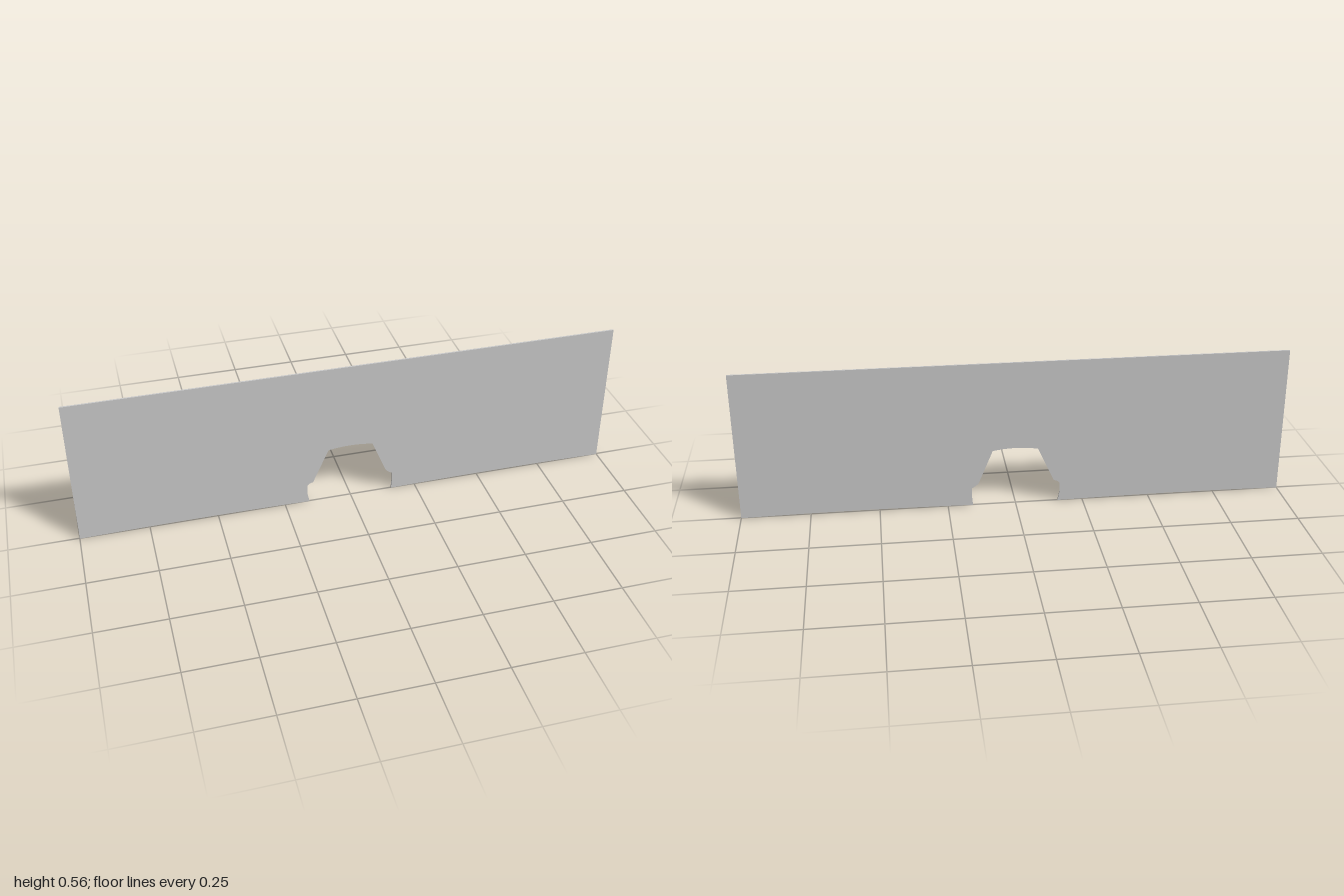
import * as THREE from 'three';

const THICKNESS = 0.006;
const HEIGHT = 0.556;

// Thin upright panel with a stepped, tapering cutout in its lower edge
function panelShape() {
  const shape = new THREE.Shape();
  shape.moveTo(-1, HEIGHT);
  shape.lineTo(-1, 0);
  // slightly arched lower edge, left half
  shape.quadraticCurveTo(-0.58, 0.009, -0.158, 0);
  // cutout: short foot, shoulder, sloping side, shallow arched top
  shape.lineTo(-0.165, 0.035);
  shape.lineTo(-0.165, 0.07);
  shape.quadraticCurveTo(-0.162, 0.08, -0.143, 0.084);
  shape.lineTo(-0.083, 0.216);
  shape.quadraticCurveTo(0, 0.231, 0.083, 0.216);
  shape.lineTo(0.136, 0.088);
  shape.quadraticCurveTo(0.146, 0.076, 0.16, 0.07);
  shape.lineTo(0.161, 0.035);
  shape.lineTo(0.158, 0);
  // lower edge, right half
  shape.quadraticCurveTo(0.58, 0.009, 1, 0);
  shape.lineTo(1, HEIGHT);
  shape.closePath();
  return shape;
}

export function createModel() {
  const model = new THREE.Group();
  model.name = 'notchedPanel';
  const geometry = new THREE.ExtrudeGeometry(panelShape(), {
    depth: THICKNESS, bevelEnabled: false, curveSegments: 8,
  });
  geometry.translate(0, 0, -THICKNESS / 2);
  const panel = new THREE.Mesh(geometry, new THREE.MeshStandardMaterial({ color: 0xcccccc }));
  panel.name = 'panel';
  model.add(panel);
  return model;
}
